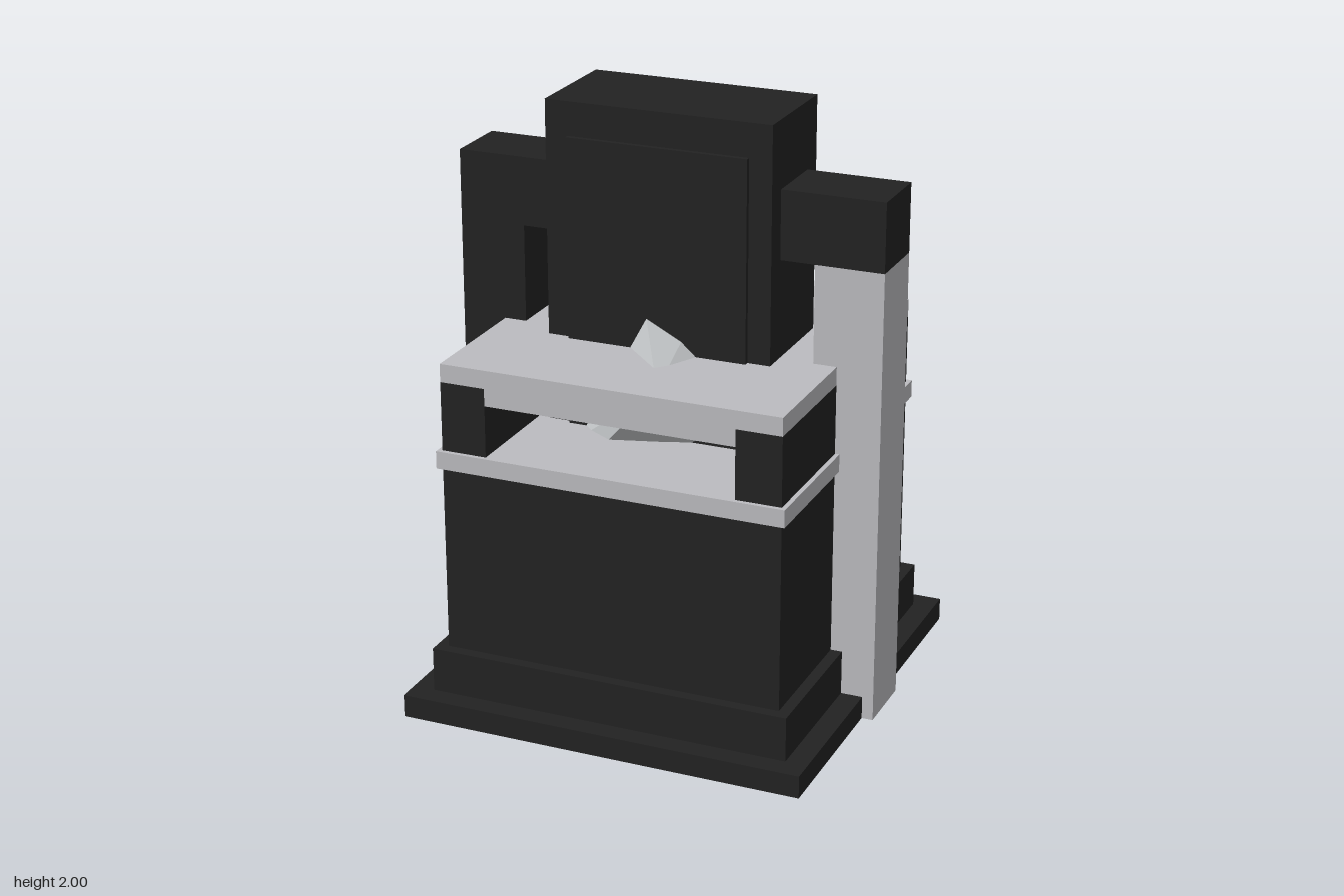
import * as THREE from 'three';
import { ConvexGeometry } from 'three/addons/geometries/ConvexGeometry.js';

export function createModel() {
  const model = new THREE.Group();
  model.name = 'crystalPress';

  const dark = new THREE.MeshStandardMaterial({ color: 0x222222 });
  dark.name = 'charcoal';
  const grey = new THREE.MeshStandardMaterial({ color: 0xbcbcc0 });
  grey.name = 'paleGrey';
  const stone = new THREE.MeshStandardMaterial({ color: 0xc3c6c8, flatShading: true });
  stone.name = 'crystalGrey';

  // Box given by its extents on each axis
  const box = (name, material, [x0, x1], [y0, y1], [z0, z1]) => {
    const mesh = new THREE.Mesh(new THREE.BoxGeometry(x1 - x0, y1 - y0, z1 - z0), material);
    mesh.position.set((x0 + x1) / 2, (y0 + y1) / 2, (z0 + z1) / 2);
    mesh.name = name;
    model.add(mesh);
  };

  // Stacked square layers: name, material, half width, bottom, top
  const layers = [
    ['foot', dark, 0.565, 0, 0.02],
    ['footTrim', grey, 0.565, 0.02, 0.05],
    ['plinth', dark, 0.675, 0.05, 0.125],
    ['step', dark, 0.603, 0.125, 0.272],
    ['body', dark, 0.565, 0.272, 0.89],
    ['lowerSlab', grey, 0.58, 0.89, 0.948],
    ['upperSlab', grey, 0.565, 1.175, 1.235],
  ];
  for (const [name, material, h, y0, y1] of layers) box(name, material, [-h, h], [y0, y1], [-h, h]);

  // Side walls of the chamber, open at front and back
  box('leftWall', dark, [0.415, 0.565], [0.948, 1.175], [-0.565, 0.565]);
  box('rightWall', dark, [-0.565, -0.415], [0.948, 1.175], [-0.565, 0.565]);
  box('chamberCeiling', grey, [-0.415, 0.415], [1.118, 1.175], [-0.565, 0.565]);

  // Side columns and the arms holding the head
  const depth = [-0.112, 0.112];
  box('leftColumn', grey, [0.488, 0.712], [0.05, 1.555], depth);
  box('leftArm', dark, [0.375, 0.712], [1.555, 1.78], depth);
  box('rightColumn', dark, [-0.712, -0.492], [0.05, 1.78], depth);
  box('rightArm', dark, [-0.492, -0.375], [1.555, 1.78], depth);

  // Tall central head with a raised front panel
  box('head', dark, [-0.375, 0.375], [0.948, 2], [-0.187, 0.187]);
  box('frontPanel', dark, [-0.3, 0.3], [0.948, 1.89], [0.187, 0.203]);

  // Irregular crystal lodged through the head and slabs
  const corners = [
    [0.09, 1.19, 0.4], [-0.07, 1.385, 0.14], [0.08, 1.4, -0.07],
    [0.215, 1.28, -0.31], [0.15, 1.1, -0.355], [0.45, 1.0, -0.1],
    [0.33, 1.06, 0.21], [0.03, 0.9, 0.2], [-0.17, 0.9, 0.26],
    [-0.27, 0.9, 0.2], [-0.43, 0.95, -0.02], [0.1, 0.9, -0.25],
  ].map((p) => new THREE.Vector3(...p));
  const crystal = new THREE.Mesh(new ConvexGeometry(corners), stone);
  crystal.name = 'crystal';
  model.add(crystal);

  return model;
}
